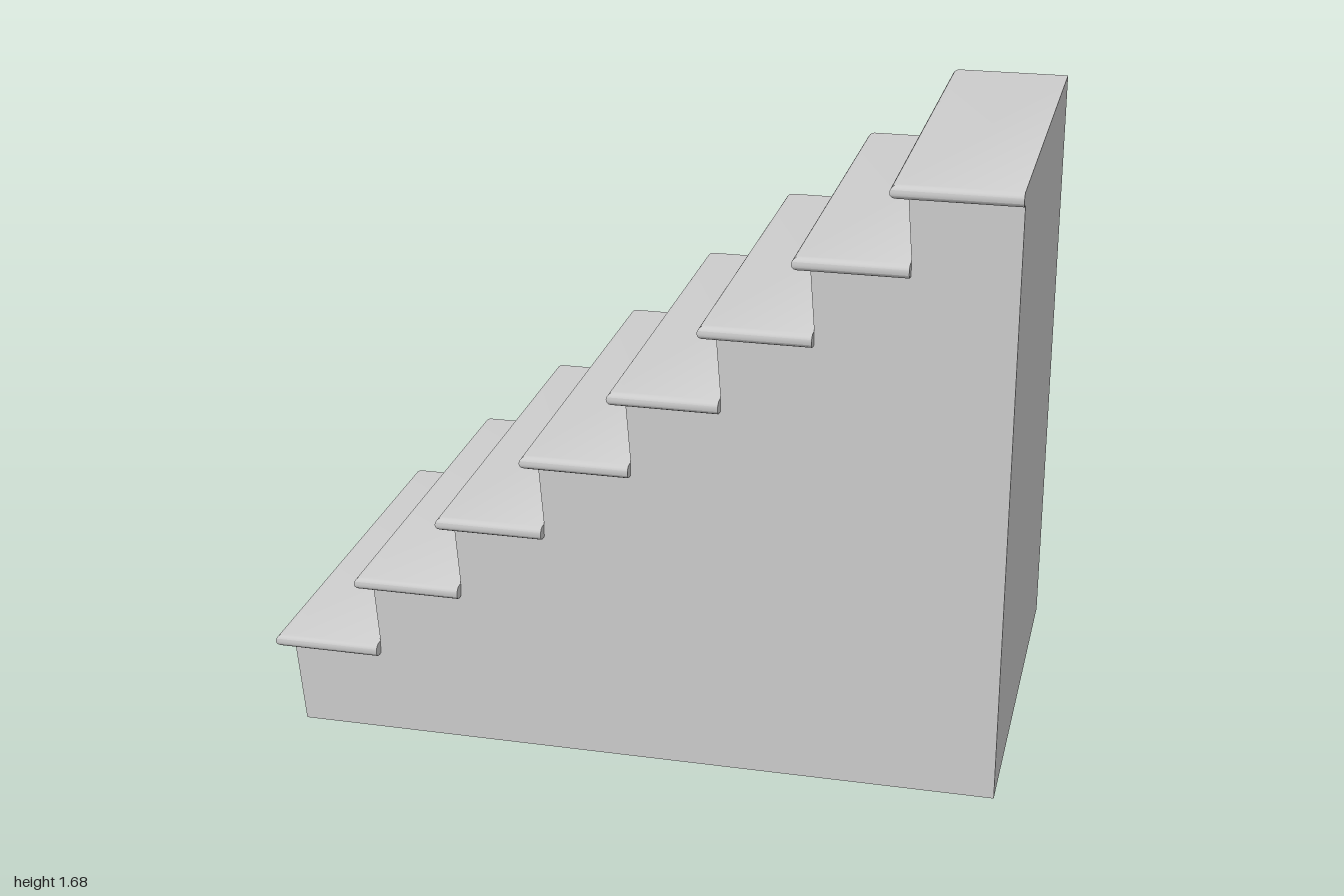
import * as THREE from 'three';
import { toCreasedNormals } from 'three/addons/utils/BufferGeometryUtils.js';

const STEPS = 8, RUN = 0.239, RISE = 0.2015, THICK = 0.037;
const FIRST_TOP = 0.268, TREAD = 0.295, END = 1, BACK = -0.6, FRONT = 0.6, WALL = 0.565;

// Slab with half-round nosing on its -x and +z edges, square on the others
function treadGeometry(x0, x1) {
  const r = THICK / 2, segments = 8, pos = [], index = [];
  for (let i = 0; i <= segments; i++) {
    const a = Math.PI * (i / segments - 0.5);
    const inset = r * (1 - Math.cos(a)), y = r * Math.sin(a);
    pos.push(x0 + inset, y, FRONT - inset, x1, y, FRONT - inset, x1, y, BACK, x0 + inset, y, BACK);
  }
  for (let i = 0; i < segments; i++) {
    for (let k = 0; k < 4; k++) {
      const a = i * 4 + k, b = i * 4 + (k + 1) % 4;
      index.push(a, b, b + 4, a, b + 4, a + 4);
    }
  }
  const t = segments * 4;
  index.push(0, 2, 1, 0, 3, 2, t, t + 1, t + 2, t, t + 2, t + 3);
  const geo = new THREE.BufferGeometry();
  geo.setAttribute('position', new THREE.Float32BufferAttribute(pos, 3));
  geo.setIndex(index);
  return toCreasedNormals(geo, 0.6);
}

export function createModel() {
  const model = new THREE.Group();
  model.name = 'staircase';
  const material = new THREE.MeshStandardMaterial({ color: 0xcccccc });

  // Solid stepped base with risers leaning slightly forward
  const profile = new THREE.Shape();
  profile.moveTo(END, 0);
  profile.lineTo(END, FIRST_TOP + (STEPS - 1) * RISE - THICK);
  for (let i = STEPS - 1; i >= 0; i--) {
    const under = FIRST_TOP + i * RISE - THICK;
    const x = -1 + i * RUN;
    profile.lineTo(x + 0.043, under);
    if (i > 0) {
      const foot = x - RUN + TREAD;
      profile.lineTo(foot, under - RISE + THICK);
      profile.lineTo(foot, under - RISE);
    } else {
      profile.lineTo(-0.935, 0);
    }
  }
  const baseGeo = new THREE.ExtrudeGeometry(profile, { depth: WALL - BACK, bevelEnabled: false });
  baseGeo.translate(0, 0, BACK);
  const base = new THREE.Mesh(baseGeo, material);
  base.name = 'steppedBase';
  model.add(base);

  // Treads, the top one running on to the end wall
  for (let i = 0; i < STEPS; i++) {
    const x0 = -1 + i * RUN;
    const tread = new THREE.Mesh(treadGeometry(x0, i === STEPS - 1 ? END : x0 + TREAD), material);
    tread.position.y = FIRST_TOP + i * RISE - THICK / 2;
    tread.name = `tread${i + 1}`;
    model.add(tread);
  }
  return model;
}
